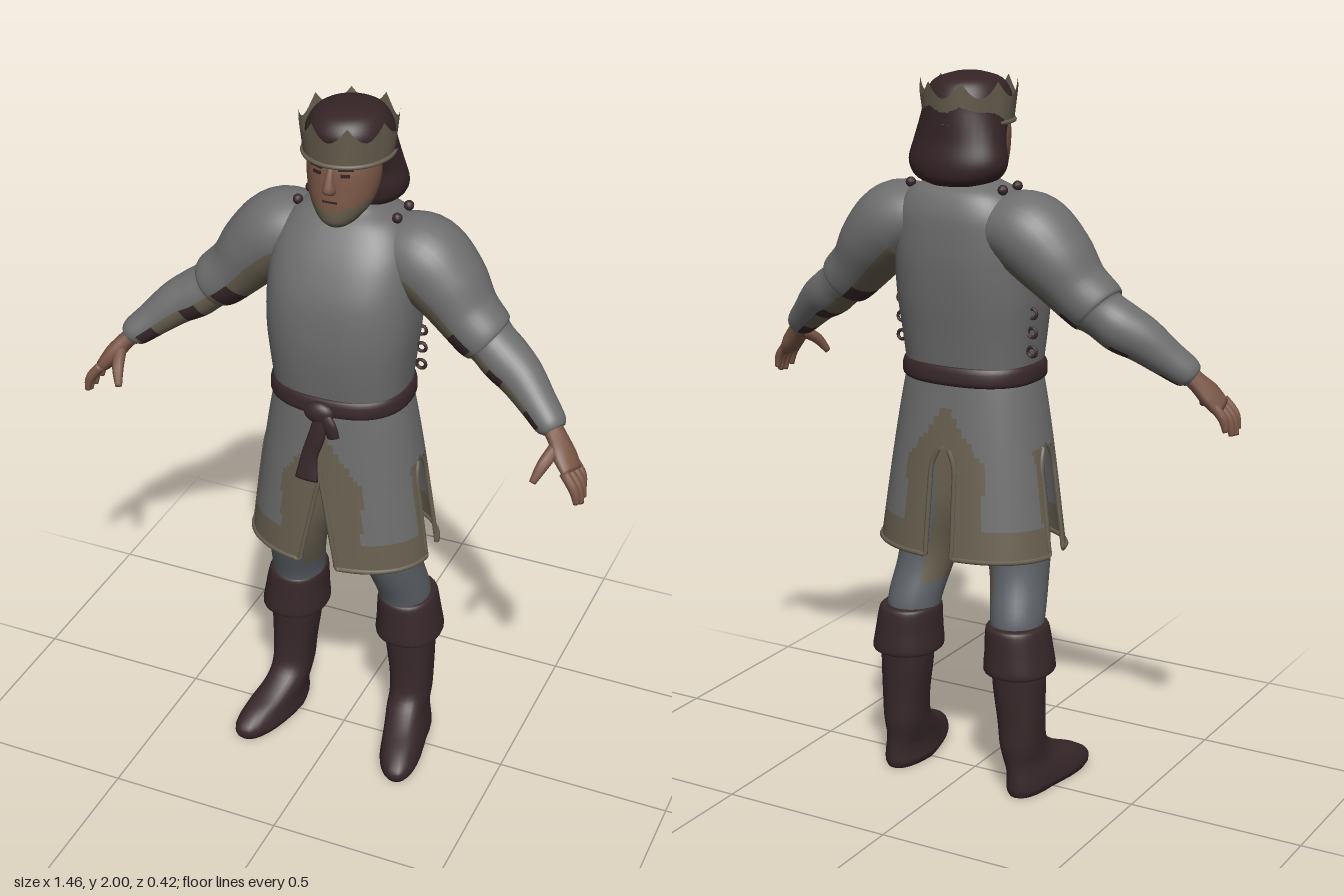
import * as THREE from 'three';

const mat = (name, color, side = THREE.FrontSide) => {
  const m = new THREE.MeshStandardMaterial({ color, side });
  m.name = name;
  return m;
};

// Grid surface; pick() chooses a material for each cell
function surface(name, nr, nc, wrap, point, mats, pick = () => 0) {
  const w = wrap ? nc : nc + 1, pos = [], lists = mats.map(() => []);
  for (let i = 0; i <= nr; i++) for (let j = 0; j < w; j++) pos.push(...point(i, j));
  for (let i = 0; i < nr; i++) for (let j = 0; j < nc; j++) {
    const k = (j + 1) % w, a = i * w + j, b = i * w + k, c = b + w, d = a + w;
    const mid = [0, 1, 2].map(q => (pos[a * 3 + q] + pos[c * 3 + q]) / 2);
    lists[pick(i + 0.5, j + 0.5, mid)].push(a, b, c, a, c, d);
  }
  const g = new THREE.BufferGeometry();
  g.setAttribute('position', new THREE.Float32BufferAttribute(pos, 3));
  g.setIndex(lists.flat());
  let start = 0;
  lists.forEach((l, i) => { g.addGroup(start, l.length, i); start += l.length; });
  g.computeVertexNormals();
  const mesh = new THREE.Mesh(g, mats.length > 1 ? mats : mats[0]);
  mesh.name = name;
  return mesh;
}

const power = (c, p) => Math.sign(c) * Math.abs(c) ** (2 / p);

// Smooth sample of rows [x, y, z, radius1, radius2]
function sample(rows, f) {
  const n = rows.length - 1, t = Math.min(Math.max(f, 0), n);
  const i = Math.min(Math.floor(t), n - 1), u = t - i;
  const at = k => rows[Math.min(Math.max(k, 0), n)];
  const [a, b, c, d] = [at(i - 1), at(i), at(i + 1), at(i + 2)];
  return b.map((_, q) => 0.5 * (2 * b[q] + (c[q] - a[q]) * u
    + (2 * a[q] - 5 * b[q] + 4 * c[q] - d[q]) * u * u
    + (3 * b[q] - a[q] - 3 * c[q] + d[q]) * u * u * u));
}

// Closed body through cross-sections: upright (level rings) or along a path
function loft(name, rows, mats, o = {}) {
  const { nr = 24, nc = 28, upright = true, p = 2, pick, warp } = o;
  const last = rows.length - 1, index = i => (i - 1) / (nr - 2) * last;
  const Z = new THREE.Vector3(0, 0, 1), X = new THREE.Vector3(1, 0, 0);
  const point = (i, j) => {
    const f = Math.min(Math.max(index(i), 0), last), r = sample(rows, f);
    const cap = i === 0 || i === nr ? 0 : 1;
    let u = Z, v = X, ru = r[4], rv = r[3];
    if (!upright) {
      const A = sample(rows, f - 0.05), B = sample(rows, f + 0.05);
      const t = new THREE.Vector3(B[0] - A[0], B[1] - A[1], B[2] - A[2]).normalize();
      u = Z.clone().cross(t).normalize();
      v = t.clone().cross(u);
      [ru, rv] = [r[3], r[4]];
    }
    const a = j / nc * Math.PI * 2;
    const P = new THREE.Vector3(r[0], r[1], r[2])
      .addScaledVector(u, cap * ru * power(Math.cos(a), p))
      .addScaledVector(v, cap * rv * power(Math.sin(a), p));
    if (warp) warp(P);
    return P.toArray();
  };
  return surface(name, nr, nc, true, point, mats,
    pick && ((i, j, mid) => pick(index(i), j / nc * 360, mid)));
}

// Copy of a mesh on the other side of the body
function mirrored(mesh) {
  mesh.updateMatrix();
  const g = mesh.geometry.clone().applyMatrix4(mesh.matrix).scale(-1, 1, 1);
  const ix = g.index.array;
  for (let i = 0; i < ix.length; i += 3) [ix[i + 1], ix[i + 2]] = [ix[i + 2], ix[i + 1]];
  const m = new THREE.Mesh(g, mesh.material);
  m.name = mesh.name.replace('left', 'right');
  return m;
}

export function createModel() {
  const model = new THREE.Group();
  model.name = 'crownedMan';
  const grey = mat('grey cloth', 0x6e6e6e, THREE.DoubleSide);
  const tan = mat('tan trim', 0x686050, THREE.DoubleSide);
  const hose = mat('blue grey hose', 0x5e6268);
  const brown = mat('dark brown leather', 0x38282a);
  const hairMat = mat('dark hair', 0x352426);
  const skin = mat('skin', 0x7c5848);
  const add = m => (model.add(m), m);
  const pair = m => { add(m); add(mirrored(m)); };
  const solid = (name, geo, m, x, y, z) => {
    const mesh = new THREE.Mesh(geo, m);
    mesh.name = name;
    mesh.position.set(x, y, z);
    return mesh;
  };

  // Tunic body and neck
  add(loft('tunicBody', [[0, 1.18, 0, .182, .148], [0, 1.3, 0, .195, .165], [0, 1.4, -.005, .205, .175],
    [0, 1.5, -.015, .205, .175], [0, 1.58, -.03, .2, .16], [0, 1.64, -.045, .185, .14],
    [0, 1.69, -.055, .15, .11], [0, 1.715, -.055, .1, .08], [0, 1.73, -.05, .07, .062]],
  [grey], { nr: 36, nc: 48, p: 2.5 }));
  add(loft('neck', [[0, 1.66, -.045, .06, .06], [0, 1.78, -.03, .06, .06]], [skin]));

  // Skirt: four panels between slits at front, sides and back
  const ringAt = (a, y) => {
    const t = (1.2 - y) / 0.5;
    return [(.185 + .08 * Math.max(t, 0) ** .8) * power(Math.sin(a), 2.3), y,
      -.01 * t + (.15 + .045 * t) * power(Math.cos(a), 2.3)];
  };
  const slit = (k, y) => k % 4 === 0
    ? .045 * Math.max(0, (.98 - y) / .28) / .26
    : .03 * Math.sqrt(Math.min(1, Math.max(0, (1.01 - y) / .06))) / (k % 2 ? .19 : .25);
  const NR = 40, NC = 24, yOf = i => .7 + .5 * i / NR;
  for (let k = 0; k < 4; k++) {
    const at = (s, y) => {
      const a0 = k * Math.PI / 2 + slit(k, y), a1 = (k + 1) * Math.PI / 2 - slit(k + 1, y);
      return ringAt(a0 + (a1 - a0) * s, y);
    };
    add(surface('skirtPanel', NR, NC, false, (i, j) => at(j / NC, yOf(i)), [grey, tan], (i, j, [x, y, z]) => {
      const centre = .12 * Math.min(1, (1.12 - y) / .16);
      const side = y < 1.0 ? .055 : 0;
      return y < .79 || Math.abs(x) < centre || (Math.abs(z + .006) < side && Math.abs(x) > .1) ? 1 : 0;
    }));
    // Rolled hem along the slits and bottom
    const pts = [];
    for (let y = 1.0; y > .71; y -= .03) pts.push(at(0, y));
    for (let s = 0; s <= 1.001; s += .05) pts.push(at(s, .705));
    for (let y = .73; y < 1.01; y += .03) pts.push(at(1, y));
    const path = new THREE.CatmullRomCurve3(pts.map(q => new THREE.Vector3(...q)));
    add(solid('skirtHem', new THREE.TubeGeometry(path, 90, .007, 6), tan, 0, 0, 0));
  }

  // Belt with knot and hanging ends
  add(loft('belt', [[0, 1.175, 0, .19, .157], [0, 1.185, 0, .197, .165], [0, 1.215, 0, .196, .163],
    [0, 1.228, 0, .188, .156]], [brown], { nr: 10, nc: 48, p: 2.4 }));
  const knot = add(solid('beltKnot', new THREE.SphereGeometry(.036, 16, 12), brown, 0, 1.19, .168));
  knot.scale.set(1.2, .9, .6);
  add(loft('beltLongEnd', [[.01, 1.2, .17, .018, .012], [0, 1.13, .18, .024, .012],
    [-.02, 1.06, .187, .024, .01], [-.025, .99, .197, .034, .01]], [brown], { upright: false, nc: 12 }));
  add(loft('beltShortEnd', [[.01, 1.2, .172, .016, .012], [.035, 1.16, .178, .02, .01],
    [.045, 1.125, .175, .018, .008]], [brown], { upright: false, nc: 12 }));

  // Legs in hose
  pair(loft('leftLeg', [[.165, .46, -.06, .07, .078], [.165, .52, -.052, .075, .085], [.15, .62, -.015, .08, .09],
    [.137, .7, 0, .088, .098], [.115, .82, 0, .1, .11], [.1, 1.0, 0, .085, .12]],
  [hose, tan], { pick: (f, a, [x, y]) => a > 205 && a < 320 && y > .57 ? 1 : 0 }));

  // Boots
  pair(loft('leftBoot', [[.2, .003, .035, .055, .16], [.2, .02, .037, .064, .168], [.2, .045, .034, .062, .165],
    [.197, .075, .012, .058, .142], [.192, .105, -.025, .056, .107], [.19, .15, -.06, .058, .079],
    [.188, .22, -.068, .062, .072], [.182, .32, -.07, .07, .075], [.178, .42, -.07, .074, .078]],
  [brown], { nr: 36, p: 2.3, warp: v => { if (v.z > 0) v.x += .2 * v.z; } }));
  pair(loft('leftBootCuff', [[.18, .365, -.066, .086, .095], [.18, .375, -.066, .096, .106], [.177, .43, -.066, .09, .102],
    [.172, .49, -.066, .083, .097], [.171, .502, -.066, .074, .088]], [brown], { p: 2.2 }));

  // Sleeves: grey outside, tan underside with leather straps
  const straps = [3.7, 6.5, 8.6];
  pair(loft('leftSleeve', [[.12, 1.605, -.06, .09, .105], [.2, 1.59, -.06, .112, .122], [.27, 1.53, -.055, .105, .115],
    [.33, 1.46, -.045, .086, .096], [.385, 1.41, -.035, .08, .085], [.405, 1.393, -.033, .067, .072],
    [.45, 1.36, -.02, .068, .07], [.5, 1.33, 0, .062, .062], [.56, 1.28, .03, .05, .052],
    [.605, 1.243, .055, .042, .046], [.618, 1.23, .062, .03, .036]],
  [grey, tan, brown], {
    upright: false, nr: 60, nc: 32,
    pick: (f, a) => a < 105 || a > 235 || f < .8 || f > 9.2 ? 0
      : straps.some(s => Math.abs(f - s) < .42) ? 2 : 1,
  }));

  // Hands
  const digit = (name, rows) => pair(loft(name, rows, [skin], { upright: false, nr: 12, nc: 10 }));
  digit('leftPalm', [[.6, 1.245, .055, .026, .03], [.63, 1.215, .07, .024, .034], [.658, 1.18, .09, .026, .046],
    [.685, 1.145, .105, .02, .046]]);
  for (let k = 0; k < 4; k++) {
    const z = .068 + .025 * k, reach = [.8, .96, 1, .88][k];
    digit('leftFinger', [[.675, 1.16, z, .013, .013], [.675 + .035 * reach, 1.16 - .045 * reach, z + .007, .013, .013],
      [.675 + .046 * reach, 1.16 - .09 * reach, z + .008, .008, .008]]);
  }
  digit('leftThumb', [[.635, 1.2, .095, .018, .018], [.618, 1.17, .145, .016, .016], [.602, 1.13, .175, .009, .01]]);

  // Side laces and shoulder buckles
  for (let i = 0; i < 3; i++) {
    pair(solid('leftSideLace', new THREE.TorusGeometry(.013, .005, 6, 12), brown, .203, 1.27 + i * .052, -.05));
  }
  for (const z of [-.1, -.02]) {
    pair(solid('leftShoulderBuckle', new THREE.SphereGeometry(.014, 10, 8), brown, .14, 1.705, z));
  }

  // Head with short beard
  add(loft('head', [[0, 1.695, .04, .03, .035], [0, 1.712, .032, .052, .058], [0, 1.75, .012, .08, .083],
    [0, 1.8, 0, .095, .093], [0, 1.86, -.01, .1, .098], [0, 1.92, -.025, .094, .096]],
  [skin, tan], { nr: 36, nc: 36, pick: (f, a, [x, y]) => y < 1.742 + .3 * Math.abs(x) ? 1 : 0 }));
  add(loft('nose', [[0, 1.795, .09, .013, .01], [0, 1.807, .094, .018, .024], [0, 1.835, .092, .012, .018],
    [0, 1.87, .082, .008, .01]], [skin], { nr: 12, nc: 12 }));
  add(solid('mouth', new THREE.BoxGeometry(.04, .005, .008), brown, 0, 1.774, .092));
  const brow = solid('leftBrow', new THREE.BoxGeometry(.04, .008, .009), hairMat, .04, 1.866, .081);
  brow.rotation.y = .42;
  pair(brow);
  const eye = solid('leftEye', new THREE.BoxGeometry(.024, .008, .008), hairMat, .038, 1.848, .082);
  eye.rotation.y = .4;
  pair(eye);

  // Shoulder-length hair
  add(loft('hair', [[0, 1.712, -.095, .07, .065], [0, 1.73, -.092, .118, .086], [0, 1.77, -.09, .14, .092],
    [0, 1.83, -.08, .128, .09], [0, 1.9, -.05, .114, .115], [0, 1.94, -.036, .11, .123],
    [0, 1.98, -.035, .085, .095], [0, 1.998, -.035, .035, .04]], [hairMat], { nr: 36, nc: 36, p: 2.1 }));

  // Crown with eight points
  const band = new THREE.CylinderGeometry(.127, .117, .09, 64, 1, true);
  const bp = band.attributes.position;
  for (let i = 0; i < bp.count; i++) {
    const a = Math.atan2(bp.getX(i), bp.getZ(i));
    if (bp.getY(i) > 0) bp.setY(i, .025 + .042 * (1 - Math.abs(Math.cos(4 * a))));
  }
  band.scale(1, 1, 1.08);
  band.computeVertexNormals();
  add(solid('crown', band, tan, 0, 1.915, -.033));
  const rim = new THREE.TorusGeometry(.118, .006, 8, 48).rotateX(Math.PI / 2).scale(1, 1, 1.08);
  add(solid('crownRim', rim, tan, 0, 1.873, -.033));

  return model;
}
